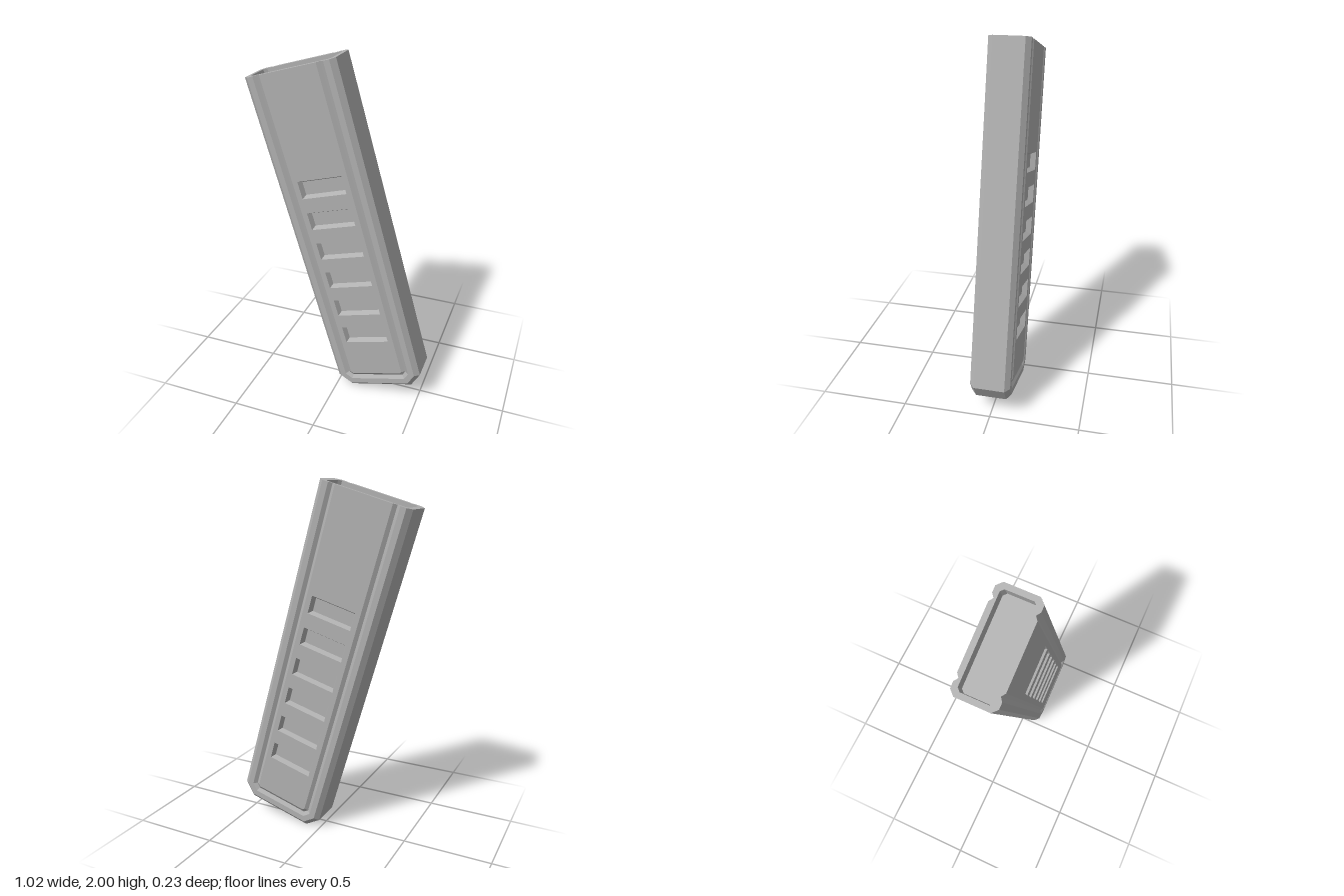
import * as THREE from 'three';

const H = 0.263, BOTTOM = -0.026, TOP = 1.925; // half width and ends along the tilted axis
const FACE = 0.113, EDGE = 0.086, CORNER = 0.07; // half depths and lower corner cut
const TILT = THREE.MathUtils.degToRad(16);

// U-shaped outline, inset by d: down the left side, along the bottom, up the right
function outline(d) {
  const c = CORNER - d * (2 - Math.SQRT2), w = H - d, b = BOTTOM + d;
  return [[-w, TOP], [-w, b + c], [-w + c, b], [w - c, b], [w, b + c], [w, TOP]];
}

// Flat-faced surface joining successive rings of [x, y, z] points
function skin(rings, closed) {
  const pos = [];
  for (let j = 0; j < rings.length - 1; j++) {
    const n = rings[j].length;
    for (let i = 0; i < (closed ? n : n - 1); i++) {
      const k = (i + 1) % n;
      const a = rings[j][i], b = rings[j][k], c = rings[j + 1][k], d = rings[j + 1][i];
      pos.push(...a, ...b, ...c, ...a, ...c, ...d);
    }
  }
  const g = new THREE.BufferGeometry();
  g.setAttribute('position', new THREE.Float32BufferAttribute(pos, 3));
  g.computeVertexNormals();
  return g;
}

const toShape = (pts) => new THREE.Shape(pts.map(([x, y]) => new THREE.Vector2(x, y)));

const rect = (w, h, cy) => [[-w, cy - h], [w, cy - h], [w, cy + h], [-w, cy + h]];

// Rectangle with cut corners
const cutRect = (w, h, c) => [
  [-w + c, -h], [w - c, -h], [w, -h + c], [w, h - c],
  [w - c, h], [-w + c, h], [-w, h - c], [-w, -h + c],
];

export function createModel() {
  const metal = new THREE.MeshStandardMaterial({ color: 0xb0b0b0 });
  const body = new THREE.Group();
  body.name = 'magazineBody';
  const add = (parent, name, geometry) => {
    const mesh = new THREE.Mesh(geometry, metal);
    mesh.name = name;
    parent.add(mesh);
    return mesh;
  };

  // Shell with bevelled edges and a V groove on both faces
  const half = [[0, EDGE], [0.027, FACE], [0.06, FACE], [0.08, 0.098], [0.1, FACE]];
  const section = [...half.map(([d, z]) => [d, -z]).reverse(), ...half];
  add(body, 'shell', skin(section.map(([d, z]) => outline(d).map(([x, y]) => [x, y, z])), false));

  // Front and back panels with six recessed slots each
  for (const side of ['front', 'back']) {
    const face = new THREE.Group();
    face.name = side + 'Face';
    if (side === 'back') face.rotation.y = Math.PI;
    const panel = toShape(outline(0.1));
    for (let i = 0; i < 6; i++) {
      const cy = 1.284 - i * 0.1866;
      const outer = rect(0.132, 0.051, cy), inner = rect(0.119, 0.038, cy);
      const depth = FACE - 0.03;
      panel.holes.push(toShape(outer));
      add(face, 'slotWalls', skin([
        outer.map(([x, y]) => [x, y, FACE]),
        inner.map(([x, y]) => [x, y, depth]),
      ], true));
      add(face, 'slotFloor', new THREE.ShapeGeometry(toShape(inner)).translate(0, 0, depth));
    }
    add(face, 'panel', new THREE.ShapeGeometry(panel).translate(0, 0, FACE));
    body.add(face);
  }

  // Rim around the open top, notched by the grooves
  const w = section.map(([d, z]) => [H - d, z]);
  const rim = toShape([...w, ...w.map(([x, z]) => [-x, z]).reverse()]);
  const mouth = cutRect(H - 0.028, 0.085, 0.016);
  rim.holes.push(toShape(mouth));
  add(body, 'topRim', new THREE.ShapeGeometry(rim).rotateX(-Math.PI / 2).translate(0, TOP, 0));

  // Shallow cavity in the top
  const floorY = TOP - 0.085;
  add(body, 'cavityWalls', skin([TOP, floorY].map((y) => mouth.map(([x, s]) => [x, y, -s])), true));
  add(body, 'cavityFloor',
    new THREE.ShapeGeometry(toShape(mouth)).rotateX(-Math.PI / 2).translate(0, floorY, 0));

  // Lean the whole body to its right
  body.rotation.z = TILT;
  body.position.set(0.27, 0.0775, 0);
  const model = new THREE.Group();
  model.name = 'magazine';
  model.add(body);
  return model;
}
